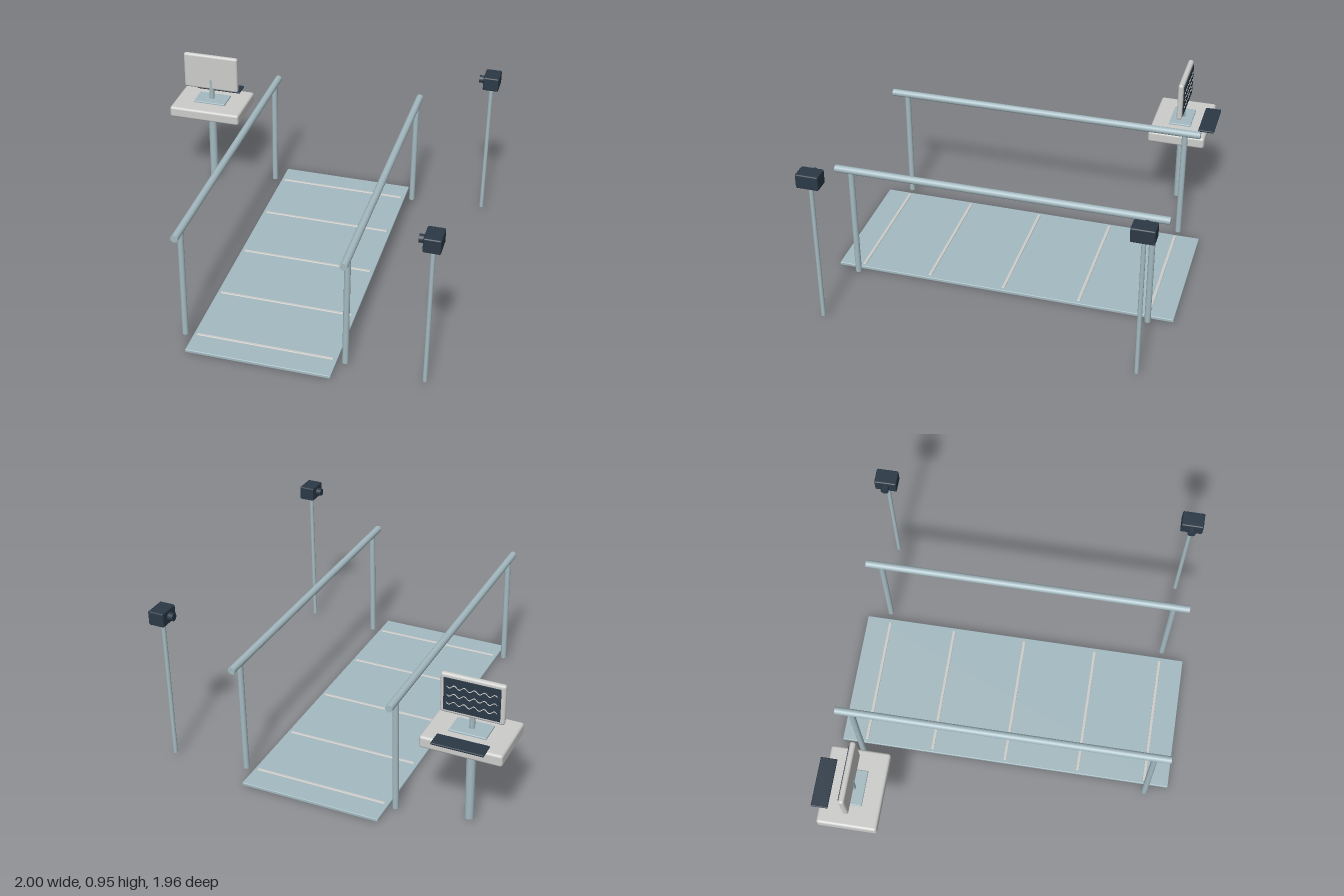
import * as THREE from 'three';
import { RoundedBoxGeometry } from 'three/addons/geometries/RoundedBoxGeometry.js';

const material = (name, color) => {
  const m = new THREE.MeshStandardMaterial({ color });
  m.name = name;
  return m;
};

export function createModel() {
  const root = new THREE.Group();
  root.name = 'walkwayStation';
  const steel = material('blue grey steel', 0xa4bac1);
  const pale = material('pale grey', 0xcccdcb);
  const dark = material('dark navy', 0x2b3946);

  const group = (name) => {
    const g = new THREE.Group();
    g.name = name;
    root.add(g);
    return g;
  };
  const add = (parent, name, geometry, mat, x, y, z) => {
    const mesh = new THREE.Mesh(geometry, mat);
    mesh.name = name;
    mesh.position.set(x, y, z);
    parent.add(mesh);
    return mesh;
  };
  // Box given by its minimum and maximum corners, with rounded edges
  const block = (parent, name, mat, [x0, y0, z0], [x1, y1, z1], radius) =>
    add(parent, name, new RoundedBoxGeometry(x1 - x0, y1 - y0, z1 - z0, 3, radius), mat,
      (x0 + x1) / 2, (y0 + y1) / 2, (z0 + z1) / 2);
  // Upright round post
  const post = (parent, name, mat, x, z, y0, y1, r) =>
    add(parent, name, new THREE.CylinderGeometry(r, r, y1 - y0, 24), mat, x, (y0 + y1) / 2, z);

  // Walking mat with five cross lines
  const mat = group('walkway');
  block(mat, 'walkwayMat', steel, [-0.345, 0, -0.98], [0.465, 0.019, 0.98], 0.004);
  for (const z of [-0.837, -0.438, 0, 0.437, 0.837])
    block(mat, 'walkwayLine', pale, [-0.325, 0.012, z - 0.009], [0.445, 0.024, z + 0.009], 0.003);

  // Parallel handrails
  for (const x of [-0.39, 0.512]) {
    const rail = group('handrail');
    add(rail, 'railBar', new THREE.CylinderGeometry(0.021, 0.021, 1.87, 24), steel, x, 0.697, 0)
      .rotation.x = Math.PI / 2;
    for (const z of [-0.845, 0.845]) post(rail, 'railPost', steel, x, z, 0.02, 0.69, 0.017);
  }

  // Sensor stands looking across the walkway
  for (const z of [-0.877, 0.877]) {
    const stand = group('sensorStand');
    post(stand, 'sensorPost', steel, 0.949, z, 0.02, 0.88, 0.012);
    block(stand, 'sensorBox', dark, [0.905, 0.866, z - 0.063], [0.997, 0.948, z + 0.063], 0.008);
    add(stand, 'sensorLens', new THREE.CylinderGeometry(0.022, 0.022, 0.04, 24), dark, 0.896, 0.907, z)
      .rotation.z = Math.PI / 2;
  }

  // Desk and computer
  const desk = group('workstation');
  post(desk, 'deskColumn', steel, -0.779, -0.77, 0.025, 0.52, 0.025);
  block(desk, 'deskTop', pale, [-1, 0.509, -0.935], [-0.553, 0.578, -0.6], 0.015);
  block(desk, 'monitorFoot', steel, [-0.877, 0.574, -0.832], [-0.674, 0.588, -0.703], 0.005);
  post(desk, 'monitorNeck', steel, -0.777, -0.767, 0.58, 0.72, 0.015);
  block(desk, 'monitor', pale, [-0.952, 0.652, -0.786], [-0.604, 0.884, -0.754], 0.014);
  block(desk, 'keyboard', dark, [-0.917, 0.577, -0.979], [-0.634, 0.589, -0.885], 0.005);
  add(desk, 'screen', new THREE.BoxGeometry(0.304, 0.188, 0.008), dark, -0.778, 0.768, -0.787);

  // Signal traces on the screen, as thin wavy strips
  const half = 0.0025, steps = 32, width = 0.27;
  for (const y of [0.72, 0.768, 0.816]) {
    const edge = (offset) => Array.from({ length: steps + 1 }, (_, i) => new THREE.Vector2(
      (i / steps - 0.5) * width, Math.sin((i / steps) * Math.PI * 10) * 0.009 + offset));
    const shape = new THREE.Shape([...edge(-half), ...edge(half).reverse()]);
    add(desk, 'signalTrace', new THREE.ExtrudeGeometry(shape, { depth: 0.003, bevelEnabled: false }),
      pale, -0.778, y, -0.793);
  }
  return root;
}
